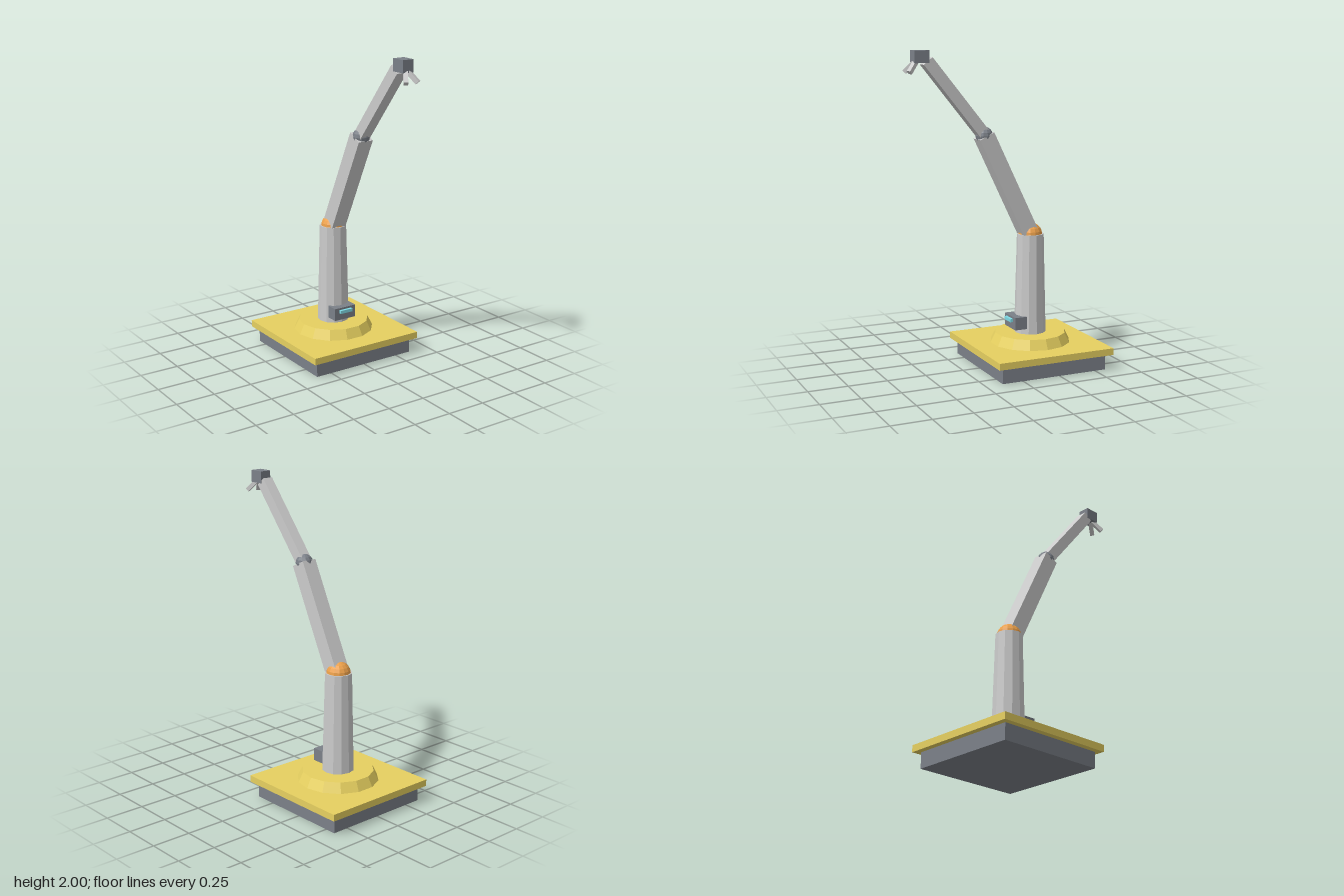
import * as THREE from 'three';

const mat = (color) => new THREE.MeshStandardMaterial({ color, flatShading: true });

export function createModel() {
  const model = new THREE.Group();
  const grey = mat(0xcccccc);
  const dark = mat(0x7b8088);
  const yellow = mat(0xe6d060);
  const orange = mat(0xeba04a);
  const cyan = mat(0x7fdbe6);
  const axisZ = -0.217; // vertical axis of the base and column

  const add = (name, geometry, material, x, y, z) => {
    const mesh = new THREE.Mesh(geometry, material);
    mesh.name = name;
    mesh.position.set(x, y, z);
    model.add(mesh);
    return mesh;
  };
  const box = (name, w, h, d, material, x, y, z) =>
    add(name, new THREE.BoxGeometry(w, h, d), material, x, y, z);
  // Square bar running from point a to point b
  const bar = (name, a, b, width, material) => {
    const start = new THREE.Vector3(...a);
    const end = new THREE.Vector3(...b);
    const dir = end.clone().sub(start);
    const mid = start.add(end).multiplyScalar(0.5);
    const mesh = box(name, width, dir.length(), width, material, mid.x, mid.y, mid.z);
    // Turn about x first, then about y, so the bar does not twist
    mesh.rotation.order = 'YXZ';
    mesh.rotation.y = Math.atan2(dir.x, dir.z);
    mesh.rotation.x = Math.atan2(Math.hypot(dir.x, dir.z), dir.y);
    return mesh;
  };

  // Base
  box('basePlinth', 0.71, 0.1, 0.71, dark, 0, 0.05, axisZ);
  box('basePlate', 0.785, 0.043, 0.785, yellow, 0, 0.1215, axisZ);
  const ring = add('turntable', new THREE.CylinderGeometry(0.226, 0.257, 0.062, 14), yellow, 0, 0.174, axisZ);
  ring.rotation.y = Math.PI / 2;

  // Column and shoulder
  add('column', new THREE.CylinderGeometry(0.085, 0.101, 0.635, 12), grey, 0, 0.5225, axisZ);
  add('shoulderJoint', new THREE.SphereGeometry(0.077, 14, 10), orange, 0, 0.833, axisZ);

  // Control box on the front of the column
  box('controlBox', 0.156, 0.08, 0.08, dark, 0, 0.28, -0.117);
  box('controlScreen', 0.09, 0.02, 0.02, cyan, 0, 0.297, -0.068);

  // Arm
  bar('upperArm', [0, 0.82, -0.215], [0, 1.475, 0.102], 0.103, grey);
  add('elbowJoint', new THREE.SphereGeometry(0.055, 12, 8), dark, 0, 1.475, 0.1);
  bar('forearm', [0, 1.475, 0.1], [0, 1.937, 0.476], 0.071, grey);

  // Hand with two splayed fingers
  box('hand', 0.075, 0.075, 0.094, dark, 0, 1.9625, 0.515);
  for (const side of [-1, 1]) {
    bar(side > 0 ? 'leftFinger' : 'rightFinger',
      [side * 0.006, 1.937, 0.541], [side * 0.042, 1.871, 0.598], 0.026, grey);
  }
  return model;
}
